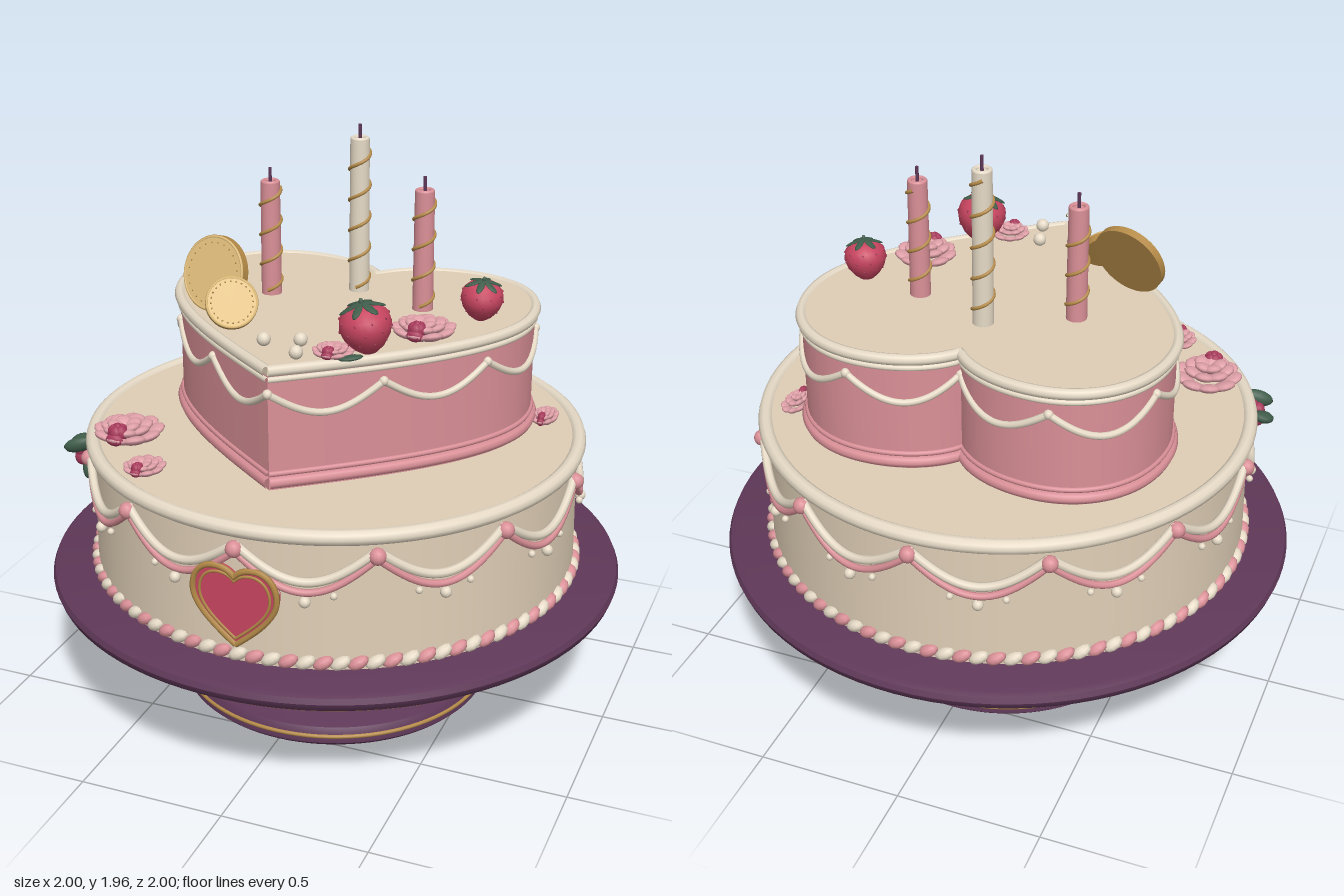
import * as THREE from 'three';
import { mergeGeometries, toCreasedNormals } from 'three/addons/utils/BufferGeometryUtils.js';

const mat = (name, color) => {
  const m = new THREE.MeshStandardMaterial({ color });
  m.name = name;
  return m;
};
const V = (x, y, z) => new THREE.Vector3(x, y, z);

export function createModel() {
  const M = {
    purple: mat('plum', 0x5f3858), gold: mat('gold', 0xb48a48), paleGold: mat('paleGold', 0xe2bf7c),
    frosting: mat('frosting', 0xdfceb6), cream: mat('cream', 0xe6dac6), pink: mat('pink', 0xda9097),
    petal: mat('petalPink', 0xdfa0a8), red: mat('berryRed', 0xc84560), rose: mat('deepRose', 0xa83a5c),
    green: mat('leafGreen', 0x3f5c4a),
  };
  const root = new THREE.Group();
  root.name = 'cakeOnStand';
  const add = (name, geo, material, parent = root) => {
    const m = new THREE.Mesh(geo, material);
    m.name = name;
    parent.add(m);
    return m;
  };
  const group = (name, x, y, z) => {
    const g = new THREE.Group();
    g.name = name;
    g.position.set(x, y, z);
    root.add(g);
    return g;
  };
  // Ellipsoid, rotated and then moved into place
  const blob = (p, s, rot = [0, 0, 0], w = 12, h = 8) => new THREE.SphereGeometry(1, w, h).scale(...s)
    .applyMatrix4(new THREE.Matrix4().makeRotationFromEuler(new THREE.Euler(...rot, 'YXZ'))).translate(p.x, p.y, p.z);
  const ball = (p, r) => blob(p, [r, r, r]);
  const ring = (R, r, y) => new THREE.TorusGeometry(R, r, 10, 96).rotateX(Math.PI / 2).translate(0, y, 0);
  const tube = (pts, r, n = 24) => new THREE.TubeGeometry(new THREE.CatmullRomCurve3(pts), n, r, 8);
  const lathe = (pts, n = 96) => new THREE.LatheGeometry(pts.map(p => new THREE.Vector2(...p)), n);
  const round = (a, R, y) => V(Math.sin(a) * R, y, Math.cos(a) * R);

  // Cake stand
  add('stand', toCreasedNormals(lathe([[0, 0], [0.535, 0], [0.55, 0.015], [0.55, 0.045], [0.535, 0.068], [0.44, 0.09],
    [0.34, 0.12], [0.25, 0.165], [0.195, 0.215], [0.178, 0.255], [0.182, 0.3], [0.2, 0.345], [0.25, 0.375], [0.36, 0.392],
    [0.9, 0.4], [0.96, 0.412], [0.992, 0.435], [1, 0.458], [0.992, 0.476], [0.97, 0.485], [0, 0.485]]), 0.7), M.purple);
  add('footBand', ring(0.547, 0.008, 0.04), M.gold);
  add('stemBand', ring(0.178, 0.006, 0.255), M.gold);
  add('plateBand', ring(0.945, 0.006, 0.408), M.gold);

  // Lower tier
  add('lowerTier', new THREE.CylinderGeometry(0.83, 0.84, 0.475, 96).translate(0, 0.7225, 0), M.frosting);
  add('lowerRim', ring(0.834, 0.026, 0.945), M.cream);
  const rope = [[], []];
  for (let i = 0; i < 96; i++) {
    const a = i / 96 * Math.PI * 2;
    rope[i % 2].push(blob(round(a, 0.84, 0.51), [0.036, 0.021, 0.024], [0, a, 0.5], 10, 6));
  }
  add('creamRope', mergeGeometries(rope[0]), M.cream);
  add('pinkRope', mergeGeometries(rope[1]), M.pink);

  // Garlands around the lower tier
  const creamSwags = [], pinkSwags = [], knots = [], pearls = [];
  const sag = (a0, R, top, drop) => Array.from({ length: 13 }, (_, k) =>
    round(a0 + k / 12 * Math.PI / 6, R, top - drop * Math.sin(k / 12 * Math.PI)));
  for (let i = 0; i < 12; i++) {
    const a = i * Math.PI / 6;
    creamSwags.push(tube(sag(a, 0.846, 0.9, 0.105), 0.015));
    pinkSwags.push(tube(sag(a, 0.848, 0.875, 0.115), 0.012));
    knots.push(ball(round(a, 0.852, 0.885), 0.028));
    pearls.push(ball(round(a + Math.PI / 12, 0.852, 0.73), 0.019));
    for (const t of [0.3, 0.7]) pearls.push(ball(round(a + t * Math.PI / 6, 0.85, 0.752), 0.012));
  }
  add('creamGarlands', mergeGeometries(creamSwags), M.cream);
  add('pinkGarlands', mergeGeometries(pinkSwags), M.pink);
  add('garlandKnots', mergeGeometries(knots), M.pink);
  add('garlandPearls', mergeGeometries(pearls), M.cream);

  // Heart outline, tip towards the front (x, z)
  const half = [[[0, 0.59], [0.3, 0.36], [0.64, 0.1], [0.64, -0.18]], [[0.64, -0.18], [0.64, -0.41], [0.49, -0.55], [0.3, -0.55]],
    [[0.3, -0.55], [0.17, -0.55], [0.06, -0.5], [0, -0.42]]];
  const full = [...half, ...half.map(c => c.map(([x, z]) => [-x, z]).reverse()).reverse()];
  const heartPath = (s, y) => {
    const path = new THREE.CurvePath();
    full.forEach(c => path.add(new THREE.CubicBezierCurve3(...c.map(([x, z]) => V(x * s, y, z * s)))));
    return path;
  };
  const heartTube = (s, y, r) => new THREE.TubeGeometry(heartPath(s, y), 192, r, 8);
  const heartShape = (sx, sy) => {
    const shape = new THREE.Shape();
    shape.moveTo(0, -0.59 * sy);
    full.forEach(c => shape.bezierCurveTo(...c.slice(1).flatMap(([x, z]) => [x * sx, -z * sy])));
    return shape;
  };
  const heartSlab = (s, y0, y1) => toCreasedNormals(new THREE.ExtrudeGeometry(heartShape(s, s),
    { depth: y1 - y0, bevelEnabled: false, curveSegments: 20 }).rotateX(-Math.PI / 2).translate(0, y0, 0), 0.6);

  // Upper heart tier
  const S = 0.98;
  add('upperTier', heartSlab(S, 0.955, 1.35), M.pink);
  add('upperIcing', heartSlab(S, 1.35, 1.378), M.frosting);
  add('upperRim', heartTube(S, 1.366, 0.019), M.cream);
  add('upperRimLine', heartTube(S, 1.336, 0.01), M.cream);
  add('upperBaseTrim', heartTube(S, 0.985, 0.02), M.pink);
  add('upperBaseLine', heartTube(S, 1.015, 0.009), M.pink);
  const edge = heartPath(S + 0.005, 0), upperSwags = [];
  for (let i = 0; i < 10; i++) {
    const pts = Array.from({ length: 13 }, (_, k) => {
      const p = edge.getPointAt(Math.min((i + k / 12) / 10, 1));
      p.y = 1.29 - 0.08 * Math.sin(k / 12 * Math.PI);
      return p;
    });
    upperSwags.push(tube(pts, 0.012), ball(pts[0], 0.016));
  }
  add('upperGarlands', mergeGeometries(upperSwags), M.cream);

  // Heart plaque
  const plaque = group('heartPlaque', 0, 0.69, 0.8);
  add('plaqueFace', toCreasedNormals(new THREE.ExtrudeGeometry(heartShape(0.22, 0.235),
    { depth: 0.055, bevelEnabled: false, curveSegments: 14 }), 0.6), M.red, plaque);
  for (const [k, r] of [[1, 0.01], [0.84, 0.005]]) {
    add('plaqueTrim', heartTube(1, 0, r).scale(1, 1, 1), M.gold, plaque).visible = true;
    const path = new THREE.CurvePath();
    full.forEach(c => path.add(new THREE.CubicBezierCurve3(...c.map(([x, z]) => V(x * 0.222 * k, -z * 0.237 * k, 0.056)))));
    plaque.children.at(-1).geometry = new THREE.TubeGeometry(path, 120, r, 6);
  }

  // Candles with a gold spiral
  for (const [x, z, top, m] of [[0, -0.22, 1.91, M.cream], [-0.27, -0.08, 1.77, M.pink], [0.27, -0.11, 1.785, M.pink]]) {
    const g = group('candle', x, 1.375, z), h = top - 1.375;
    add('candleStick', new THREE.CylinderGeometry(0.033, 0.035, h, 24).translate(0, h / 2, 0), m, g);
    add('candleLip', ring(0.025, 0.008, h), m, g);
    add('wick', new THREE.CylinderGeometry(0.006, 0.006, 0.06, 8).translate(0, h + 0.02, 0), M.purple, g);
    const turns = h / 0.117;
    add('spiral', tube(Array.from({ length: 61 }, (_, k) =>
      round(k / 60 * turns * Math.PI * 2, 0.035, 0.02 + k / 60 * (h - 0.04))), 0.006, 120), M.gold, g);
  }

  // Leaning coins
  for (const [x, y, z, r, yaw, tilt] of [[-0.375, 1.503, 0.145, 0.128, -0.27, -0.32], [-0.255, 1.458, 0.28, 0.086, 0.5, -0.5]]) {
    const g = group('coin', x, y, z);
    g.rotation.set(tilt, yaw, 0, 'YXZ');
    add('coinEdge', new THREE.CylinderGeometry(r, r, 0.026, 48).rotateX(Math.PI / 2), M.gold, g);
    add('coinFace', new THREE.CylinderGeometry(r * 0.95, r * 0.95, 0.004, 48).rotateX(Math.PI / 2).translate(0, 0, 0.014), M.paleGold, g);
    add('coinRim', new THREE.TorusGeometry(r * 0.95, 0.005, 6, 48).translate(0, 0, 0.013), M.paleGold, g);
    add('coinDots', mergeGeometries(Array.from({ length: 24 }, (_, i) => blob(
      V(Math.cos(i * Math.PI / 12) * r * 0.8, Math.sin(i * Math.PI / 12) * r * 0.8, 0.016), [0.003, 0.003, 0.002], [0, 0, 0], 6, 4))), M.gold, g);
  }

  // Strawberries
  for (const [x, z, r, lean] of [[0.25, 0.34, 0.085, 0.15], [0.48, -0.08, 0.071, -0.1]]) {
    const g = group('strawberry', x, 1.378, z);
    g.rotation.set(0.1, 0, lean);
    g.scale.setScalar(r);
    add('berry', lathe([[0, 0], [0.3, 0.06], [0.6, 0.3], [0.88, 0.7], [1, 1.1], [0.93, 1.5], [0.65, 1.8], [0.3, 1.9], [0, 1.9]], 24), M.red, g);
    const seeds = [], leaves = [blob(V(0, 2, 0), [0.1, 0.2, 0.1])];
    for (let row = 0; row < 3; row++) for (let i = 0; i < 9; i++)
      seeds.push(blob(round((i + row / 2) * Math.PI / 4.5, [0.82, 1, 0.95][row], [0.6, 1.05, 1.45][row]), [0.035, 0.06, 0.035], [0, 0, 0], 6, 4));
    for (let i = 0; i < 6; i++) leaves.push(blob(round(i * Math.PI / 3, 0.46, 1.87), [0.17, 0.06, 0.46], [0.35, i * Math.PI / 3, 0], 10, 6));
    add('seeds', mergeGeometries(seeds), M.rose, g);
    add('calyx', mergeGeometries(leaves), M.green, g);
  }

  // Roses lying on the icing with their hearts towards the front
  for (const [x, y, z, r, sx] of [[0.355, 1.378, 0.14, 0.108, 1], [0.15, 1.378, 0.41, 0.07, 1], [-0.61, 0.96, 0.38, 0.122, 1],
    [-0.435, 0.96, 0.6, 0.078, 0.9], [0.665, 0.955, -0.29, 0.078, 0.6]]) {
    const g = group('rose', x, y, z);
    g.scale.set(r * sx, r, r);
    const petals = [], heart = [];
    [[9, 0.68, 0.16, 0.34, -0.1], [7, 0.45, 0.32, 0.3, 0], [5, 0.24, 0.42, 0.26, 0.12]].forEach(([n, R, h, s, dz], k) => {
      for (let i = 0; i < n; i++) {
        const a = (i + k / 2) / n * Math.PI * 2, p = round(a, R, h);
        petals.push(blob(p.add(V(0, 0, dz)), [s, 0.13, s], [-0.4, a, 0], 12, 8));
      }
    });
    for (let i = 0; i < 5; i++) {
      const a = i * Math.PI * 0.4, p = round(a, 0.16, 0.42);
      heart.push(blob(p.add(V(0, 0, 0.52)), [0.17, 0.2, 0.13], [-0.3, a, 0]));
    }
    heart.push(blob(V(0, 0.48, 0.52), [0.12, 0.18, 0.12]), blob(V(0, 0.25, 0.74), [0.26, 0.18, 0.14]));
    add('petals', mergeGeometries(petals), M.petal, g);
    add('roseHeart', mergeGeometries(heart), M.rose, g);
  }

  // Rosebud hanging over the edge, and loose leaves
  add('rosebud', mergeGeometries([0, 1, 2, 3, 4].map(i => blob(
    V(-0.785 + 0.02 * Math.cos(i * 1.257), 0.87 + 0.026 * Math.sin(i * 1.257), 0.365), [0.024, 0.03, 0.026]))), M.rose);
  add('leaves', mergeGeometries([
    blob(V(-0.79, 0.915, 0.4), [0.055, 0.028, 0.022], [0.3, 0.4, 0.3]), blob(V(-0.83, 0.89, 0.32), [0.035, 0.02, 0.04], [0.3, -0.6, 0]),
    blob(V(-0.76, 0.83, 0.4), [0.02, 0.035, 0.018], [0, -1, 0.3]), blob(V(0.22, 1.39, 0.435), [0.04, 0.008, 0.02], [0, 0.5, 0.1])]), M.green);

  // Loose pearls
  add('loosePearls', mergeGeometries([[-0.085, 0.41], [0.025, 0.37], [0.055, 0.48]].map(([x, z]) => ball(V(x, 1.402, z), 0.023))), M.cream);
  return root;
}
